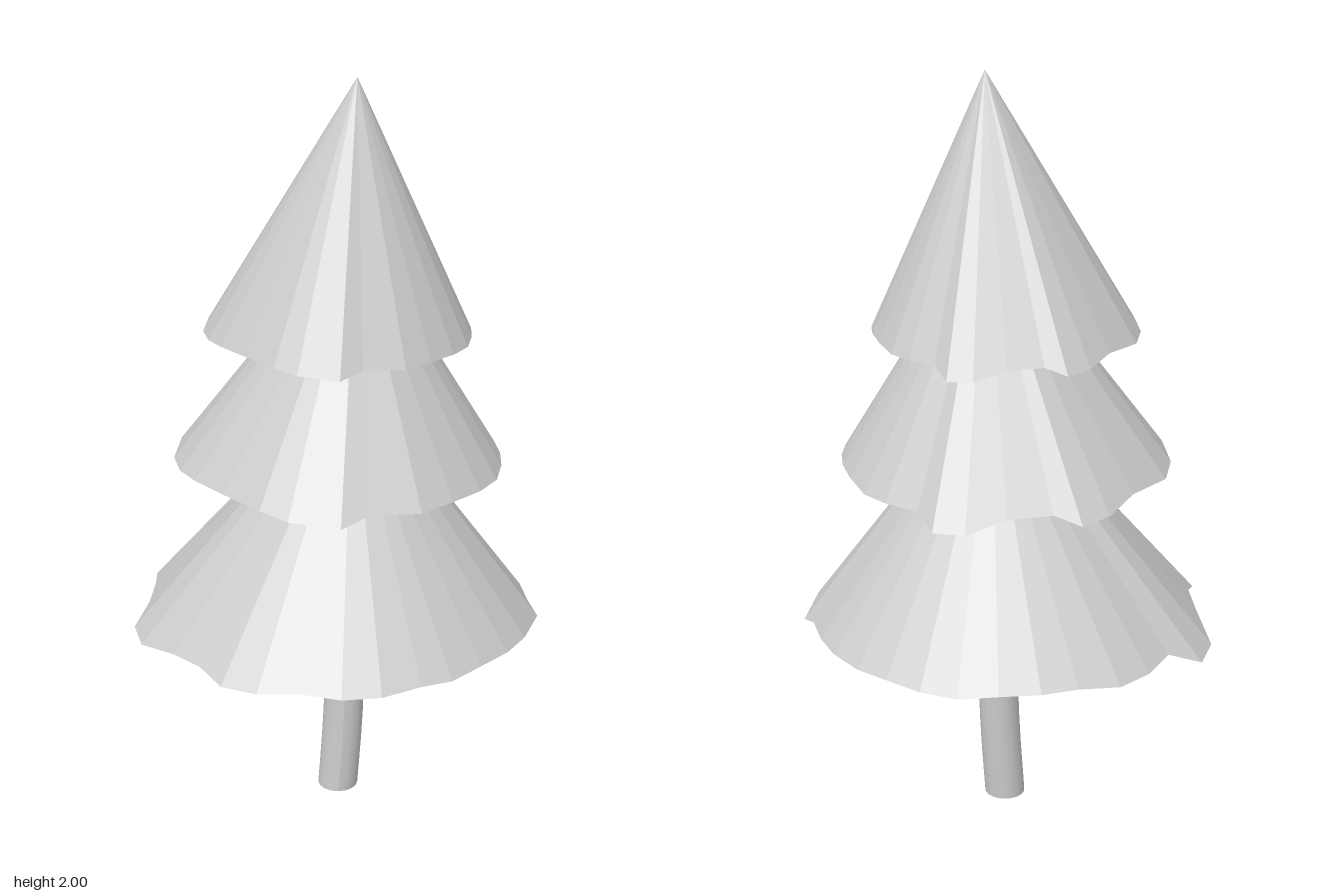
import * as THREE from 'three';

const material = new THREE.MeshStandardMaterial({ color: 0xcccccc, flatShading: true });
const smoothMaterial = new THREE.MeshStandardMaterial({ color: 0xcccccc });

// Ragged rims as [x, z], running from the front towards +x
const wideRim = [
  [0, .515], [.1, .505], [.2, .465], [.28, .43], [.36, .36], [.435, .28], [.49, .19], [.54, .05],
  [.52, -.01], [.51, -.11], [.485, -.2], [.435, -.295], [.37, -.37], [.295, -.44], [.21, -.49], [.11, -.51],
  [.005, -.52], [-.09, -.51], [-.2, -.495], [-.285, -.445], [-.355, -.37], [-.45, -.35], [-.5, -.26], [-.495, -.115],
  [-.505, -.005], [-.54, .08], [-.515, .18], [-.425, .28], [-.355, .355], [-.3, .43], [-.21, .475], [-.1, .495],
];
const narrowRim = [
  [0, .44], [.07, .405], [.2, .375], [.28, .315], [.355, .24], [.405, .16], [.425, .075],
  [.43, -.005], [.42, -.1], [.395, -.2], [.35, -.27], [.28, -.34], [.255, -.41], [.18, -.445],
  [.075, -.433], [-.04, -.433], [-.107, -.457], [-.183, -.42], [-.26, -.34], [-.37, -.235], [-.41, -.13],
  [-.423, .015], [-.403, .11], [-.362, .187], [-.287, .275], [-.197, .365], [-.128, .41],
];

// Cone from a ragged rim to an off-centre apex; longer boughs droop lower
function makeTier(name, rim, scale, radius, rimY, apex) {
  const points = rim.map(([x, z]) => {
    const droop = 0.7 * Math.max(0, Math.hypot(x, z) - radius);
    return [x * scale, rimY - droop * scale, z * scale];
  });
  const centre = [0, rimY - 0.005, 0];
  const positions = [];
  points.forEach((a, i) => {
    const b = points[(i + 1) % points.length];
    positions.push(...a, ...b, ...apex); // sloping side
    positions.push(...b, ...a, ...centre); // underside
  });
  const geometry = new THREE.BufferGeometry();
  geometry.setAttribute('position', new THREE.Float32BufferAttribute(positions, 3));
  geometry.computeVertexNormals();
  const mesh = new THREE.Mesh(geometry, material);
  mesh.name = name;
  return mesh;
}

// Slightly bowed trunk
function makeTrunk() {
  const geometry = new THREE.CylinderGeometry(0.054, 0.055, 0.62, 16, 8);
  geometry.translate(0, 0.31, 0);
  const p = geometry.attributes.position;
  for (let i = 0; i < p.count; i++) {
    const y = p.getY(i);
    p.setX(i, p.getX(i) + 0.004 + 0.019 * Math.sin((Math.PI * y) / 0.8));
    p.setZ(i, p.getZ(i) - 0.012 * y);
  }
  geometry.computeVertexNormals();
  const mesh = new THREE.Mesh(geometry, smoothMaterial);
  mesh.name = 'trunk';
  return mesh;
}

export function createModel() {
  const tree = new THREE.Group();
  tree.name = 'tree';
  tree.add(
    makeTrunk(),
    makeTier('lowerBoughs', wideRim, 1, 0.5, 0.575, [0.04, 1.22, -0.01]),
    makeTier('middleBoughs', narrowRim, 1, 0.41, 1.015, [0.05, 1.63, 0.01]),
    makeTier('upperBoughs', narrowRim, 0.8, 0.41, 1.36, [0.05, 2, 0.02]),
  );
  return tree;
}
